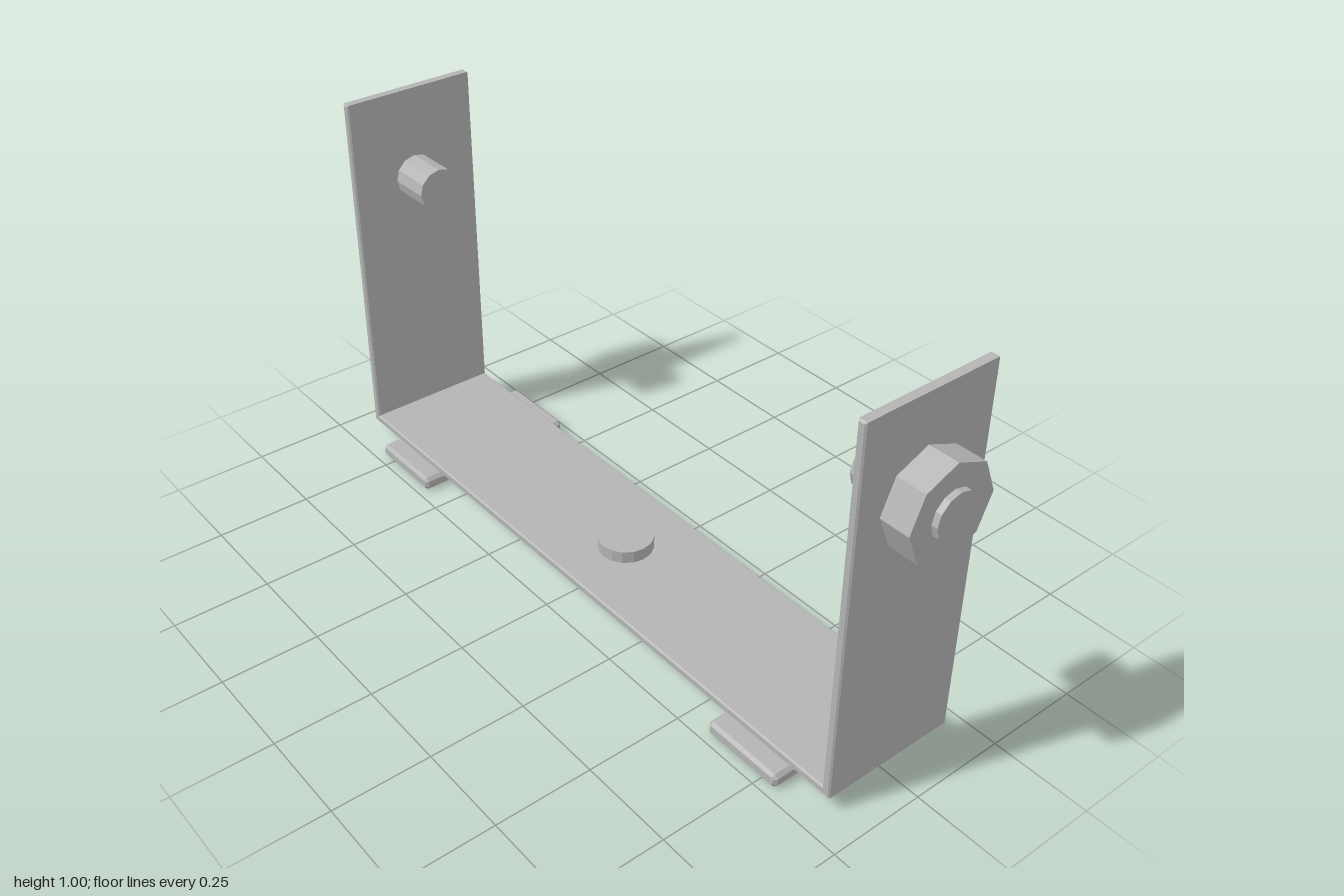
import * as THREE from 'three';

const steel = new THREE.MeshStandardMaterial({ color: 0xb4b4b4, flatShading: true });
steel.name = 'steelGrey';

function add(parent, name, geometry) {
  const mesh = new THREE.Mesh(geometry, steel);
  mesh.name = name;
  parent.add(mesh);
  return mesh;
}

// Outline extruded along z, centred, with a small chamfer on both ends
function chamferedExtrude(points, depth, bevel) {
  const shape = new THREE.Shape(points.map(([x, y]) => new THREE.Vector2(x, y)));
  const geometry = new THREE.ExtrudeGeometry(shape, {
    depth: depth - 2 * bevel, bevelEnabled: true, bevelSegments: 1,
    bevelSize: bevel, bevelThickness: bevel, bevelOffset: -bevel,
  });
  return geometry.translate(0, 0, -depth / 2 + bevel);
}

// Prism lying along x from x0 to x1, with a corner pointing up
function axle(radius, x0, x1, sides) {
  return new THREE.CylinderGeometry(radius, radius, x1 - x0, sides)
    .rotateZ(-Math.PI / 2).translate((x0 + x1) / 2, 0, 0);
}

export function createModel() {
  const model = new THREE.Group();
  model.name = 'mountingBracket';

  // U-shaped strap
  const X = 0.91, T = 0.022, Y0 = 0.04, Y1 = 0.998;
  add(model, 'strap', chamferedExtrude([
    [-X, Y0], [X, Y0], [X, Y1], [X - T, Y1],
    [X - T, Y0 + T], [-X + T, Y0 + T], [-X + T, Y1], [-X, Y1],
  ], 0.364, 0.004));

  // Round boss in the middle of the base
  add(model, 'centreBoss', new THREE.CylinderGeometry(0.072, 0.072, 0.045, 16))
    .position.y = 0.0725;

  for (const side of [1, -1]) {
    const name = side > 0 ? 'left' : 'right';

    // Octagonal knob with a bolt through the arm
    const pivot = new THREE.Group();
    pivot.name = name + 'Pivot';
    pivot.position.y = 0.755;
    if (side < 0) pivot.rotation.y = Math.PI;
    add(pivot, 'knob', axle(0.118, 0.905, 0.985, 8));
    add(pivot, 'bolt', axle(0.058, 0.772, 1, 12));
    model.add(pivot);

    // Chamfered foot pad across the base
    const w = 0.11, h = 0.037, c = 0.009;
    const pad = chamferedExtrude([
      [-w + c, 0], [w - c, 0], [w, c], [w, h - c],
      [w - c, h], [-w + c, h], [-w, h - c], [-w, c],
    ], 0.454, 0.008);
    add(model, name + 'FootPad', pad).position.x = side * 0.685;
  }
  return model;
}
